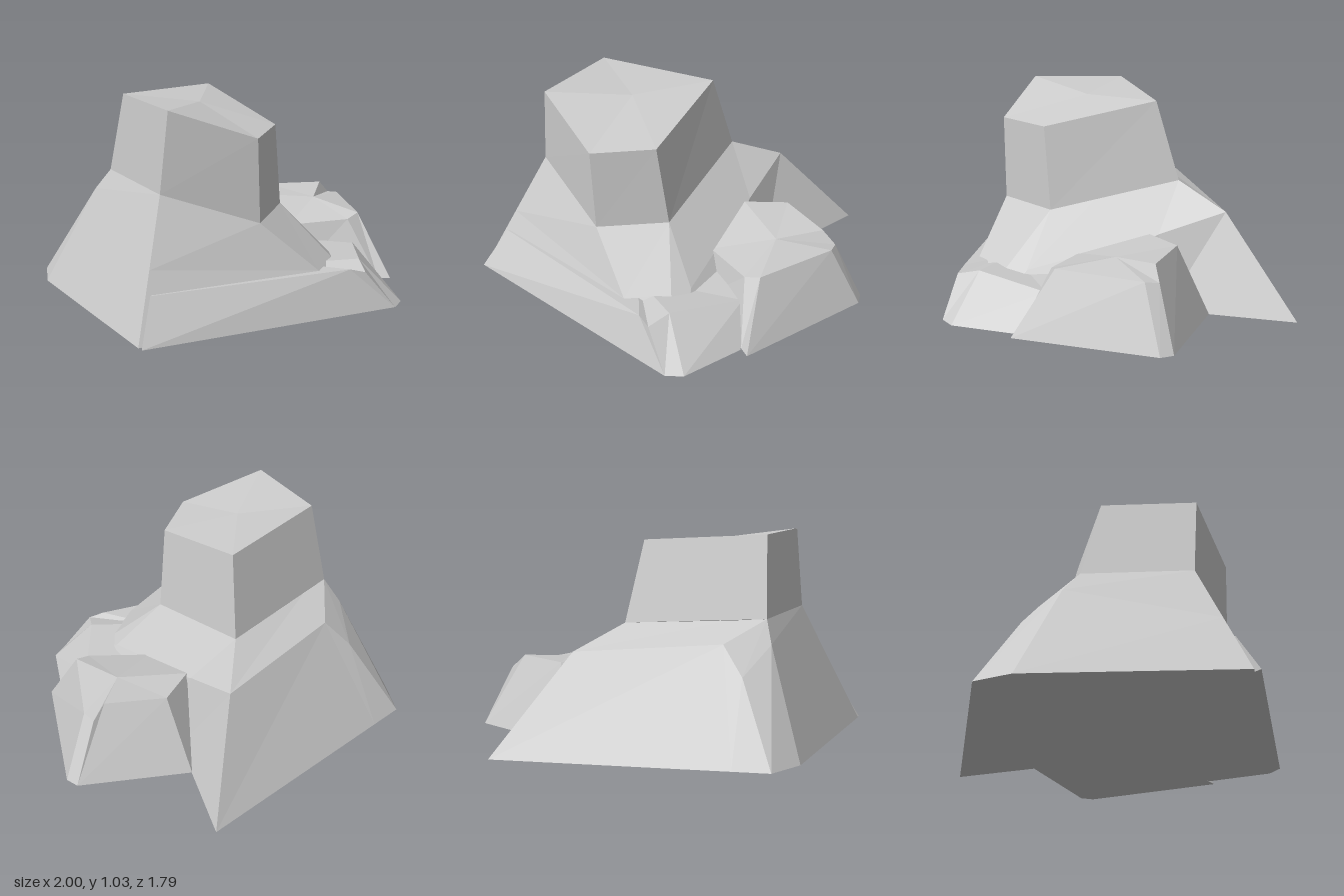
import * as THREE from 'three';

const material = new THREE.MeshStandardMaterial({ color: 0xcccccc, flatShading: true });

// Lofts between rings of equal length (bottom to top, counter-clockwise from above).
// Each end is closed by a fan around a centre point; repeated corners collapse to triangles.
function rock(name, rings, topCentre) {
  const positions = [];
  const tri = (a, b, c) => {
    const area = b.clone().sub(a).cross(c.clone().sub(a)).length();
    if (area > 1e-6) for (const p of [a, b, c]) positions.push(p.x, p.y, p.z);
  };
  const loops = rings.map(r => r.map(p => new THREE.Vector3(...p)));
  const n = loops[0].length;
  const centre = loop => loop.reduce((s, p) => s.add(p), new THREE.Vector3()).divideScalar(n);
  const bottom = loops[0], top = loops[loops.length - 1];
  const low = centre(bottom);
  const high = topCentre ? new THREE.Vector3(...topCentre) : centre(top);
  for (let i = 0; i < n; i++) {
    const j = (i + 1) % n;
    for (let k = 0; k + 1 < loops.length; k++) {
      const a = loops[k], b = loops[k + 1];
      tri(a[i], a[j], b[j]);
      tri(a[i], b[j], b[i]);
    }
    tri(bottom[j], bottom[i], low);
    tri(top[i], top[j], high);
  }
  const geometry = new THREE.BufferGeometry();
  geometry.setAttribute('position', new THREE.Float32BufferAttribute(positions, 3));
  geometry.computeVertexNormals();
  const mesh = new THREE.Mesh(geometry, material);
  mesh.name = name;
  return mesh;
}

export function createModel() {
  const group = new THREE.Group();
  group.name = 'rockFormation';

  // Corners where the upright boulder meets the sloping mound
  const left = [-0.67, 0.63, 0.10], front = [-0.30, 0.46, 0.41], frontRight = [0.04, 0.46, 0.28];
  const right = [0.22, 0.60, -0.35], back = [-0.47, 0.63, -0.41];

  // Upright boulder with a top that falls away to the front
  group.add(rock('upperBoulder', [
    [left, front, frontRight, right, back],
    [[-0.64, 1.03, 0.13], [-0.32, 0.88, 0.41], [-0.02, 0.88, 0.29], [0.13, 1.0, -0.26], [-0.47, 1.03, -0.31]],
  ], [-0.23, 0.99, -0.02]));

  // Wide sloping mound: ground, shoulder and neck rings
  group.add(rock('slopingMound', [
    [[-0.99, 0, 0.24], [0.07, 0, 0.79], [0.20, 0, 0.75], [0.27, 0, 0.66], [0.45, 0, -0.18],
      [0.84, 0, -0.71], [-0.30, 0, -0.874], [-0.48, 0, -0.90], [-0.62, 0, -0.75]],
    [[-0.83, 0.315, 0.17], [-0.10, 0.21, 0.62], [0.12, 0.21, 0.54], [0.20, 0.21, 0.46], [0.36, 0.37, -0.18],
      [0.46, 0.48, -0.50], [-0.26, 0.53, -0.56], [-0.35, 0.39, -0.66], [-0.49, 0.52, -0.50]],
    [left, front, frontRight, frontRight, [0.10, 0.51, 0.06],
      right, [-0.30, 0.62, -0.395], back, back],
  ]));

  // Low ledge along the front
  group.add(rock('frontLedge', [
    [[-1, 0, 0.27], [0.18, 0, 0.89], [0.18, 0, 0.89], [0.27, 0, 0.87], [0.49, 0, 0.61], [0.30, 0, 0.10], [-0.60, 0, 0.10]],
    [[-0.87, 0.21, 0.21], [0.01, 0.21, 0.73], [0.07, 0.19, 0.78], [0.15, 0.22, 0.69], [0.46, 0.18, 0.45],
      [0.25, 0.21, 0.15], [-0.60, 0.21, 0.12]],
  ]));

  // Smaller block leaning on the side of the mound
  group.add(rock('sideBlock', [
    [[0.20, 0, 0.25], [0.49, 0, 0.60], [0.53, 0, 0.65], [1, 0, 0.09], [1, 0, 0.02], [1, 0, 0.02],
      [0.58, 0, -0.36], [0.35, 0, -0.15]],
    [[0.24, 0.28, 0.20], [0.46, 0.30, 0.42], [0.54, 0.32, 0.43], [0.84, 0.31, 0.10], [0.85, 0.30, 0.03],
      [0.78, 0.37, 0.02], [0.56, 0.37, -0.19], [0.34, 0.37, -0.14]],
  ], [0.56, 0.35, 0.13]));

  return group;
}
